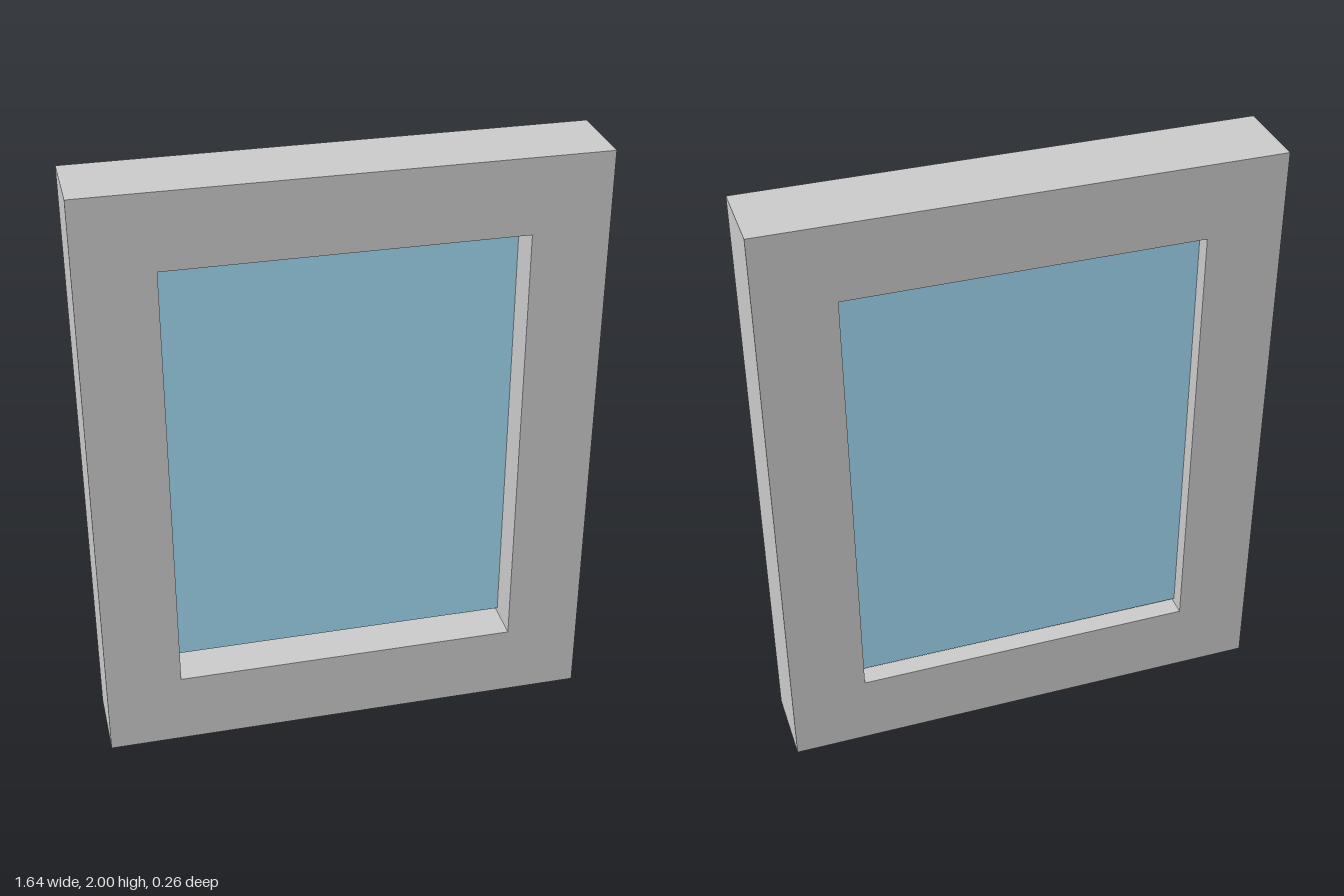
import * as THREE from 'three';

const WIDTH = 1.645, HEIGHT = 2, DEPTH = 0.262;
const BORDER = 0.25; // width of the frame members

export function createModel() {
  const group = new THREE.Group();
  group.name = 'window';
  const frameMaterial = new THREE.MeshStandardMaterial({ color: 0xcccccc });
  const glassMaterial = new THREE.MeshStandardMaterial({ color: 0xa2dbf4 });

  // Rectangular frame with an opening through it
  const w = WIDTH / 2, ow = w - BORDER;
  const outline = new THREE.Shape([
    new THREE.Vector2(-w, 0), new THREE.Vector2(w, 0),
    new THREE.Vector2(w, HEIGHT), new THREE.Vector2(-w, HEIGHT),
  ]);
  outline.holes.push(new THREE.Path([
    new THREE.Vector2(-ow, BORDER), new THREE.Vector2(-ow, HEIGHT - BORDER),
    new THREE.Vector2(ow, HEIGHT - BORDER), new THREE.Vector2(ow, BORDER),
  ]));
  const frameGeometry = new THREE.ExtrudeGeometry(outline, { depth: DEPTH, bevelEnabled: false });
  frameGeometry.translate(0, 0, -DEPTH / 2);
  const frame = new THREE.Mesh(frameGeometry, frameMaterial);
  frame.name = 'frame';

  // Thick pane set towards the back, with a narrow gap above and below
  const pane = new THREE.Mesh(new THREE.BoxGeometry(ow * 2, 1.47, 0.085), glassMaterial);
  pane.name = 'glassPane';
  pane.position.set(0, HEIGHT / 2, -0.035);

  group.add(frame, pane);
  return group;
}
